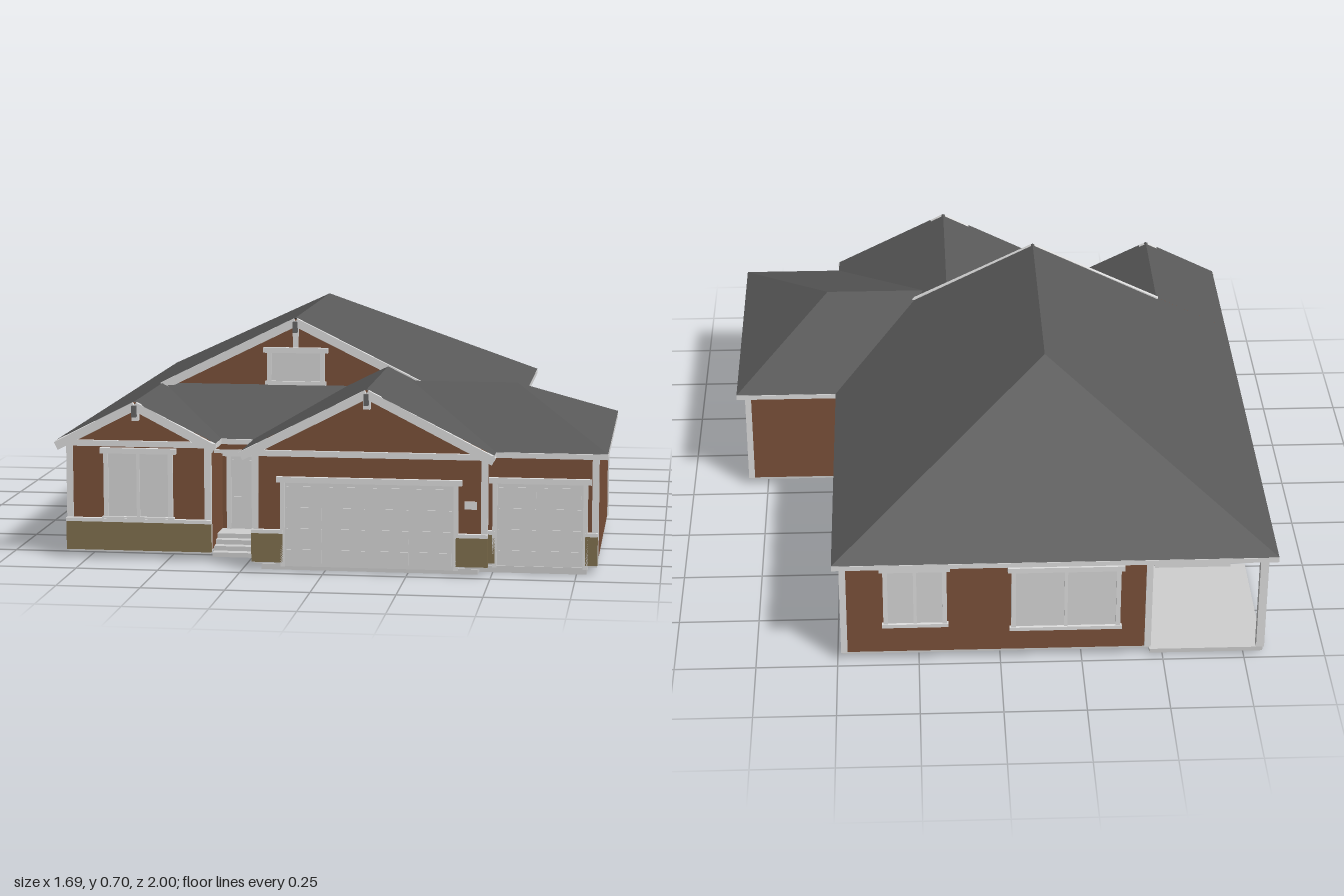
import * as THREE from 'three';

const mat = (name, color, side = THREE.FrontSide) => {
  const m = new THREE.MeshStandardMaterial({ color, side });
  m.name = name;
  return m;
};

export function createModel() {
  const house = new THREE.Group();
  house.name = 'house';
  const siding = mat('brown siding', 0x7c523a);
  const roofMat = mat('grey shingles', 0x595959, THREE.DoubleSide);
  const trim = mat('white trim', 0xe0e0e0);
  const panel = mat('pale panel', 0xd8d8d8);
  const stone = mat('tan base course', 0x82714f);
  const concrete = mat('concrete', 0xd0d0d0);
  const metal = mat('dark bracket', 0x666666);

  // box given by its low and high corners
  const box = (name, m, x0, x1, y0, y1, z0, z1, parent = house) => {
    const mesh = new THREE.Mesh(new THREE.BoxGeometry(x1 - x0, y1 - y0, z1 - z0), m);
    mesh.position.set((x0 + x1) / 2, (y0 + y1) / 2, (z0 + z1) / 2);
    mesh.name = name;
    parent.add(mesh);
    return mesh;
  };
  // flat polygon through three or four corners
  const plane = (name, m, ...p) => {
    const tri = p.length === 4 ? [0, 1, 2, 0, 2, 3] : [0, 1, 2];
    const g = new THREE.BufferGeometry();
    g.setAttribute('position', new THREE.Float32BufferAttribute(tri.flatMap(i => p[i]), 3));
    g.computeVertexNormals();
    const mesh = new THREE.Mesh(g, m);
    mesh.name = name;
    house.add(mesh);
  };

  // wall blocks and floor slabs
  const blocks = [
    ['mainWalls', -0.81, 0.485, -0.51, 0.62], ['backWalls', -0.46, 0.485, -0.965, -0.51],
    ['bayWalls', -0.81, -0.37, 0.62, 0.835], ['garageWalls', -0.215, 0.485, 0.62, 0.955],
    ['sideGarageWalls', 0.485, 0.81, 0.06, 0.89],
  ];
  for (const [name, x0, x1, z0, z1] of blocks) {
    box(name, siding, x0, x1, 0.027, 0.352, z0, z1);
    box('floorSlab', concrete, x0, x1, 0.02, 0.027, z0, z1);
  }
  box('garageSlab', concrete, -0.19, 0.46, 0.004, 0.02, 0.09, 0.96);
  box('sideGarageSlab', concrete, 0.46, 0.78, 0, 0.02, 0.1, 0.9);
  box('patioSlab', concrete, -0.81, -0.46, 0.004, 0.018, -0.97, -0.51);

  // roof planes
  const E = 0.367, R = 0.705, A = 0.49, B = 0.556, S = 0.516;
  plane('mainRoofLeft', roofMat, [-0.84, E, -1], [-0.84, E, 0.445], [-0.165, R, 0.445], [-0.165, R, -0.325]);
  plane('mainRoofRight', roofMat, [0.51, E, 0.445], [0.51, E, -1], [-0.165, R, -0.325], [-0.165, R, 0.445]);
  plane('mainRoofHip', roofMat, [0.51, E, -1], [-0.84, E, -1], [-0.165, R, -0.325]);
  plane('bayRoofLeft', roofMat, [-0.84, E, 0.445], [-0.84, E, 0.865], [-0.595, A, 0.865], [-0.595, A, 0.445]);
  plane('bayRoofRight', roofMat, [-0.345, E, 0.865], [-0.345, E, 0.43], [-0.595, A, 0.43], [-0.595, A, 0.865]);
  plane('garageRoofLeft', roofMat, [-0.245, E, 0.43], [-0.245, E, 0.985], [0.13, B, 0.985], [0.13, B, 0.43]);
  plane('garageRoofRight', roofMat, [0.51, E, 0.985], [0.51, E, 0.445], [0.13, B, 0.445], [0.13, B, 0.985]);
  plane('entryRoof', roofMat, [-0.345, E, 0.77], [-0.245, E, 0.77], [0, A, 0.43], [-0.59, A, 0.43]);
  plane('sideRoofFront', roofMat, [0.51, E, 0.92], [0.84, E, 0.92], [0.54, S, 0.475], [0.21, S, 0.475]);
  plane('sideRoofBack', roofMat, [0.84, E, 0.03], [0.51, E, 0.03], [0.21, S, 0.475], [0.54, S, 0.475]);
  plane('sideRoofHip', roofMat, [0.84, E, 0.92], [0.84, E, 0.03], [0.54, S, 0.475]);

  // fascia and soffit along the eaves
  const eaves = [
    [-0.84, -0.81, -1, 0.865], [-0.84, 0.51, -1, -0.965], [0.485, 0.51, -1, 0.06],
    [0.485, 0.84, 0.03, 0.06], [0.81, 0.84, 0.03, 0.92], [0.485, 0.84, 0.89, 0.92],
    [0.485, 0.51, 0.89, 0.985], [-0.245, -0.215, 0.77, 0.985], [-0.37, -0.345, 0.77, 0.865],
    [-0.37, -0.215, 0.74, 0.77],
  ];
  for (const [x0, x1, z0, z1] of eaves) box('fascia', trim, x0, x1, 0.35, 0.366, z0, z1);

  // gables: wall, base trim, rake boards, ridge bracket
  const gable = (name, cx, top, half, zWall, zRoof, base) => {
    const drop = top - base - 0.004;
    plane(name + 'Wall', siding, [cx - half, base, zWall], [cx + half, base, zWall], [cx, top - 0.004, zWall]);
    for (const s of [-1, 1]) {
      const a = Math.atan2(drop, half), len = Math.hypot(half, drop);
      const rake = new THREE.Mesh(new THREE.BoxGeometry(len, 0.026, 0.014), trim);
      rake.position.set(cx + s * half / 2, top - drop / 2 - 0.014, zRoof - 0.007);
      rake.rotation.z = -s * a;
      rake.name = name + 'Rake';
      house.add(rake);
    }
    box(name + 'Bracket', metal, cx - 0.007, cx + 0.007, top - 0.046, top - 0.012, zWall, zRoof + 0.012);
    box(name + 'Post', trim, cx - 0.01, cx + 0.01, top - 0.06, top - 0.02, zWall, zRoof - 0.005);
  };
  gable('bayGable', -0.595, A, 0.245, 0.835, 0.865, E - 0.008);
  gable('garageGable', 0.13, B, 0.378, 0.955, 0.985, E - 0.008);
  gable('upperGable', -0.165, R, 0.43, 0.432, 0.446, A);
  box('upperPost', trim, -0.173, -0.157, 0.6, 0.68, 0.432, 0.44);
  box('bayFrieze', trim, -0.81, -0.37, 0.348, 0.366, 0.83, 0.845);
  box('garageFrieze', trim, -0.215, 0.485, 0.348, 0.366, 0.95, 0.965);

  // corner boards
  for (const [x, z] of [[-0.81, 0.835], [-0.37, 0.835], [-0.215, 0.955], [0.485, 0.955], [0.81, 0.89],
    [0.81, 0.06], [0.485, -0.965], [-0.46, -0.965], [-0.81, -0.51]]) {
    const sx = x === -0.81 || x === -0.215 || x === -0.46 ? 1 : -1;
    const sz = z > 0.1 ? -1 : 1;
    const cx = x + sx * 0.006, cz = z + sz * 0.006;
    box('cornerBoard', trim, cx - 0.01, cx + 0.01, 0.027, 0.352, cz - 0.01, cz + 0.01);
  }

  // tan base course with cap
  for (const [x0, x1, z] of [[-0.815, -0.365, 0.835], [-0.22, -0.125, 0.955], [0.395, 0.49, 0.955],
    [0.485, 0.505, 0.89], [0.775, 0.812, 0.89]]) {
    box('baseCourse', stone, x0, x1, 0.027, 0.115, z, z + 0.012);
    box('baseCap', trim, x0, x1, 0.115, 0.126, z, z + 0.016);
  }

  // framed opening, built facing +z and turned to its wall
  const opening = (name, w, h, x, y, z, turn, fill) => {
    const g = new THREE.Group();
    g.name = name;
    g.position.set(x, y, z);
    g.rotation.y = turn;
    house.add(g);
    const t = 0.014;
    box('pane', panel, -w / 2, w / 2, 0, h, 0, 0.005, g);
    for (const s of [-1, 1]) box('jamb', trim, s * w / 2 - t / 2, s * w / 2 + t / 2, 0, h, 0, 0.011, g);
    box('header', trim, -w / 2 - 0.018, w / 2 + 0.018, h, h + 0.017, 0, 0.014, g);
    fill(g, w, h);
  };
  const sash = n => (g, w, h) => {
    box('sill', trim, -w / 2 - 0.012, w / 2 + 0.012, -0.012, 0, 0, 0.014, g);
    for (let i = 1; i < n; i++) {
      const x = -w / 2 + w * i / n;
      box('mullion', trim, x - 0.005, x + 0.005, 0, h, 0, 0.009, g);
    }
  };
  const panels = (cols, rows) => (g, w, h) => {
    for (let i = 0; i < cols; i++) for (let j = 0; j < rows; j++) {
      const x = -w / 2 + w * i / cols, y = h * j / rows, d = 0.012;
      box('raisedPanel', panel, x + d, x + w / cols - d, y + d, y + h / rows - d, 0.005, 0.008, g);
    }
  };
  const P = Math.PI;
  opening('bayWindow', 0.2, 0.195, -0.59, 0.132, 0.836, 0, sash(2));
  opening('gableWindow', 0.17, 0.09, -0.165, 0.503, 0.433, 0, sash(1));
  opening('garageDoor', 0.52, 0.255, 0.135, 0.015, 0.956, 0, panels(4, 4));
  opening('sideGarageDoor', 0.27, 0.255, 0.64, 0.015, 0.891, 0, panels(2, 4));
  opening('frontDoor', 0.11, 0.23, -0.293, 0.06, 0.621, 0, panels(1, 2));
  opening('backWindow', 0.18, 0.19, 0.26, 0.135, -0.966, P, sash(2));
  opening('wideBackWindow', 0.32, 0.2, -0.2, 0.115, -0.966, P, sash(2));
  opening('patioDoor', 0.22, 0.26, -0.64, 0.03, -0.511, P, sash(2));
  opening('leftWindow', 0.15, 0.21, -0.811, 0.11, -0.31, -P / 2, sash(1));
  opening('smallLeftWindow', 0.09, 0.17, -0.811, 0.155, 0.06, -P / 2, sash(1));
  box('wallPlaque', trim, 0.42, 0.457, 0.2, 0.223, 0.955, 0.962);

  // entry porch: beam and steps
  box('entryBeam', trim, -0.37, -0.215, 0.32, 0.332, 0.74, 0.76);
  box('entryLintel', siding, -0.37, -0.215, 0.332, 0.352, 0.742, 0.758);
  for (let i = 0; i < 4; i++) {
    box('step', concrete, -0.37, -0.217, 0.004 + i * 0.014, 0.018 + i * 0.014, 0.62, 0.8 - i * 0.03);
  }

  // back patio post and beams
  box('patioPost', trim, -0.815, -0.79, 0.018, 0.352, -0.97, -0.945);
  box('patioBackBeam', trim, -0.815, -0.46, 0.332, 0.352, -0.97, -0.948);
  box('patioSideBeam', trim, -0.815, -0.793, 0.332, 0.352, -0.97, -0.51);
  return house;
}
